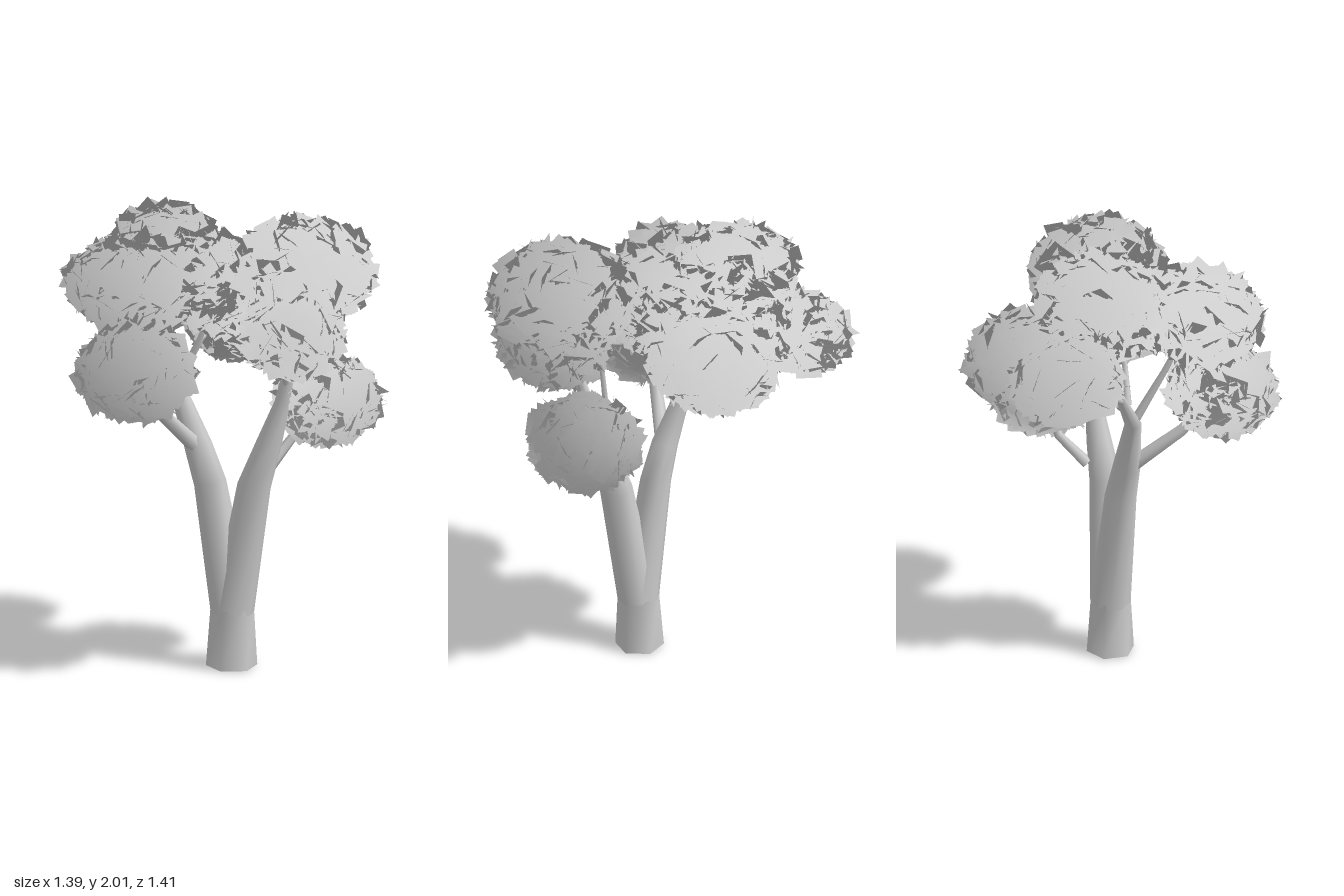
import * as THREE from 'three';

const UP = new THREE.Vector3(0, 1, 0);
const CROWN = new THREE.Vector3(0, 1.0, 0);

// small seeded random generator
function seeded(seed) {
  let s = seed;
  return () => {
    s = (s * 16807) % 2147483647;
    return s / 2147483647;
  };
}

function buildMesh(name, pos, index, material, nor) {
  const geo = new THREE.BufferGeometry();
  geo.setAttribute('position', new THREE.Float32BufferAttribute(pos, 3));
  geo.setIndex(index);
  if (nor) geo.setAttribute('normal', new THREE.Float32BufferAttribute(nor, 3));
  else geo.computeVertexNormals();
  const mesh = new THREE.Mesh(geo, material);
  mesh.name = name;
  return mesh;
}

// tapered limb: points are [x, y, z, radius]
function limb(name, points, sides, material) {
  const centres = points.map(p => new THREE.Vector3(p[0], p[1], p[2]));
  const last = points.length - 1;
  const pos = [], index = [];
  centres.forEach((c, i) => {
    const a = centres[Math.max(i - 1, 0)], b = centres[Math.min(i + 1, last)];
    const turn = new THREE.Quaternion().setFromUnitVectors(UP, b.clone().sub(a).normalize());
    for (let k = 0; k < sides; k++) {
      const t = k / sides * Math.PI * 2, r = points[i][3];
      const v = new THREE.Vector3(Math.cos(t) * r, 0, Math.sin(t) * r).applyQuaternion(turn).add(c);
      pos.push(v.x, v.y, v.z);
      if (i < last) {
        const p = i * sides + k, q = i * sides + (k + 1) % sides;
        index.push(p, p + sides, q, q, p + sides, q + sides);
      }
    }
  });
  return buildMesh(name, pos, index, material);
}

// clump of square leaf cards scattered over an ellipsoid
function foliage(name, centre, radii, seed, material) {
  const rand = seeded(seed);
  const pos = [], nor = [], index = [];
  const count = 560, size = 0.094;
  const c = new THREE.Vector3(...centre);
  const scale = new THREE.Vector3(...radii).addScalar(-0.028);
  for (let i = 0; i < count; i++) {
    // even spiral over the sphere
    const y = 1 - 2 * (i + 0.5) / count, ring = Math.sqrt(1 - y * y), a = i * 2.39996 + rand() * 0.3;
    const dir = new THREE.Vector3(Math.cos(a) * ring, y, Math.sin(a) * ring);
    const p = dir.clone().multiply(scale).multiplyScalar(0.84 + rand() * 0.13).add(c);
    // face outward, with a random tilt and spin
    const face = dir.clone().divide(scale).normalize();
    face.add(new THREE.Vector3(rand() - 0.5, rand() - 0.5, rand() - 0.5).multiplyScalar(1.8)).normalize();
    const turn = new THREE.Quaternion().setFromUnitVectors(new THREE.Vector3(0, 0, 1), face);
    const spin = rand() * Math.PI * 2, half = size * (0.85 + rand() * 0.3) * Math.SQRT1_2;
    for (let k = 0; k < 4; k++) {
      const t = spin + k * Math.PI / 2;
      const v = new THREE.Vector3(Math.cos(t) * half, Math.sin(t) * half, 0).applyQuaternion(turn).add(p);
      // shading follows the crown as a whole
      const n = v.clone().sub(CROWN).normalize();
      pos.push(v.x, v.y, v.z);
      nor.push(n.x, n.y, n.z);
    }
    const o = i * 4;
    index.push(o, o + 1, o + 2, o, o + 2, o + 3);
  }
  return buildMesh(name, pos, index, material, nor);
}

export function createModel() {
  const tree = new THREE.Group();
  tree.name = 'tree';
  const bark = new THREE.MeshStandardMaterial({ color: 0xcccccc, side: THREE.DoubleSide });
  const leaf = new THREE.MeshStandardMaterial({ color: 0xcccccc, side: THREE.DoubleSide });

  // trunk
  tree.add(limb('trunk', [[0.03, 0, 0.13, 0.112], [0.032, 0.26, 0.133, 0.094]], 6, bark));

  // the two main stems of the fork
  tree.add(limb('rightStem', [[0.03, 0.25, 0.13, 0.092], [-0.06, 0.8, 0.1, 0.07], [-0.11, 0.96, 0.085, 0.06],
    [-0.19, 1.19, 0.04, 0.036], [-0.21, 1.34, -0.06, 0.018]], 8, bark));
  tree.add(limb('leftStem', [[0.036, 0.25, 0.135, 0.092], [0.12, 0.8, 0.185, 0.072], [0.18, 0.98, 0.2, 0.055],
    [0.235, 1.16, 0.22, 0.034], [0.27, 1.36, 0.26, 0.018]], 8, bark));

  // branches reaching into the clumps
  const branches = [
    [[-0.13, 0.97, 0.11, 0.035], [-0.28, 1.13, 0.25, 0.028], [-0.38, 1.3, 0.36, 0.012]],
    [[0.19, 0.87, 0.14, 0.026], [0.3, 0.99, 0.07, 0.02], [0.44, 1.15, 0.1, 0.01]],
    [[-0.19, 1.19, 0.04, 0.022], [-0.28, 1.42, 0.13, 0.015], [-0.36, 1.64, 0.2, 0.008]],
    [[-0.18, 1.25, 0.01, 0.018], [-0.08, 1.4, -0.12, 0.014], [0.08, 1.48, -0.3, 0.008]],
    [[-0.17, 1.27, 0.03, 0.016], [-0.1, 1.42, 0.08, 0.012], [-0.03, 1.6, 0.08, 0.008]],
    [[-0.21, 1.32, -0.05, 0.016], [-0.23, 1.55, -0.14, 0.012], [-0.22, 1.78, -0.2, 0.008]],
    [[-0.21, 1.32, -0.05, 0.016], [-0.26, 1.42, -0.25, 0.012], [-0.3, 1.52, -0.42, 0.008]],
    [[0.25, 1.22, 0.23, 0.018], [0.23, 1.36, 0.33, 0.014], [0.25, 1.48, 0.42, 0.008]],
    [[0.26, 1.32, 0.25, 0.016], [0.29, 1.5, 0.28, 0.012], [0.3, 1.7, 0.3, 0.008]],
    [[0.23, 1.1, 0.21, 0.018], [0.24, 1.28, 0.15, 0.012], [0.25, 1.55, 0.17, 0.008]],
  ];
  branches.forEach(points => tree.add(limb('branch', points, 6, bark)));

  // foliage clumps: name, centre, radii
  const clumps = [
    ['lowerRightFrontFoliage', [-0.385, 1.31, 0.375], [0.255, 0.21, 0.24]],
    ['upperRightFoliage', [-0.375, 1.67, 0.22], [0.305, 0.2, 0.27]],
    ['upperLeftFoliage', [0.305, 1.705, 0.32], [0.305, 0.245, 0.325]],
    ['frontLeftFoliage', [0.255, 1.475, 0.41], [0.21, 0.205, 0.275]],
    ['topBackFoliage', [-0.23, 1.785, -0.2], [0.26, 0.2, 0.27]],
    ['backLeftFoliage', [0.09, 1.49, -0.29], [0.25, 0.22, 0.295]],
    ['backRightFoliage', [-0.31, 1.53, -0.45], [0.21, 0.175, 0.24]],
    ['middleFoliage', [-0.01, 1.64, 0.07], [0.205, 0.225, 0.265]],
    ['lowerLeftFoliage', [0.44, 1.155, 0.11], [0.235, 0.2, 0.255]],
  ];
  clumps.forEach(([name, centre, radii], i) => tree.add(foliage(name, centre, radii, 101 + i * 977, leaf)));
  return tree;
}
